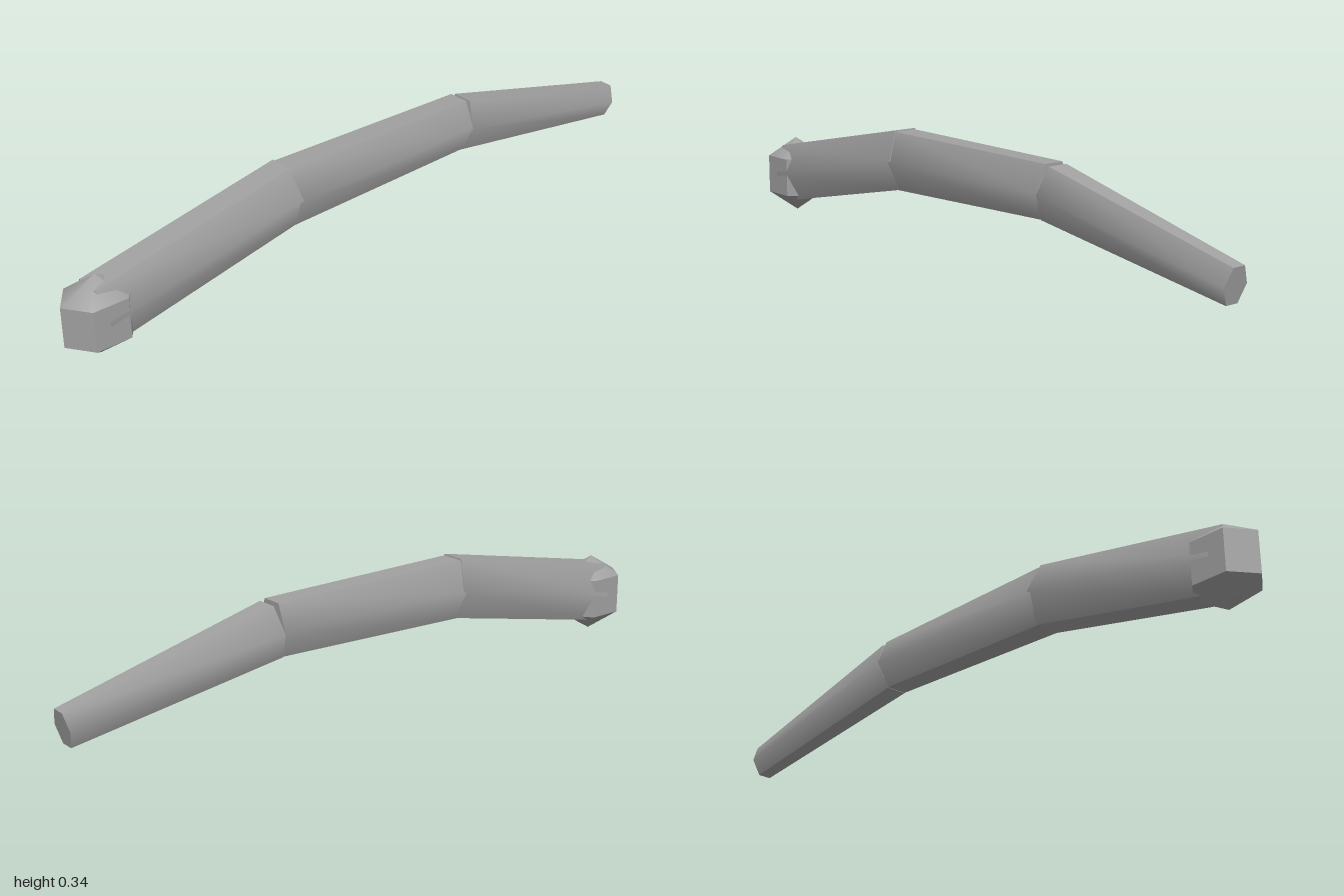
import * as THREE from 'three';
import { toCreasedNormals } from 'three/addons/utils/BufferGeometryUtils.js';

const CREASE = THREE.MathUtils.degToRad(50);

export function createModel() {
  const group = new THREE.Group();
  const grey = new THREE.MeshStandardMaterial({ color: 0xa0a0a0 });

  function add(name, geometry) {
    const mesh = new THREE.Mesh(toCreasedNormals(geometry, CREASE), grey);
    mesh.name = name;
    group.add(mesh);
    return mesh;
  }

  // Tapered six-sided tube from (x0, y0) to (x1, y1), taller than it is wide
  function segment(name, x0, y0, r0, x1, y1, r1) {
    const geometry = new THREE.CylinderGeometry(r1, r0, Math.hypot(x1 - x0, y1 - y0), 6);
    geometry.scale(1.4, 1, 1);
    geometry.rotateZ(Math.atan2(y1 - y0, x1 - x0) - Math.PI / 2);
    geometry.translate((x0 + x1) / 2, (y0 + y1) / 2, 0);
    add(name, geometry);
  }

  // Three limb segments, narrowing towards the tip
  segment('baseSegment', -0.9, 0.125, 0.075, -0.285, 0.255, 0.073);
  segment('middleSegment', -0.3, 0.25, 0.072, 0.35, 0.258, 0.063);
  segment('tipSegment', 0.35, 0.255, 0.063, 0.99, 0.13, 0.041);

  // Faceted ball joint at the base
  const ball = new THREE.SphereGeometry(0.12, 6, 3);
  ball.scale(1, 1, 0.8);
  add('baseJoint', ball).position.set(-0.896, 0.12, 0);

  return group;
}
